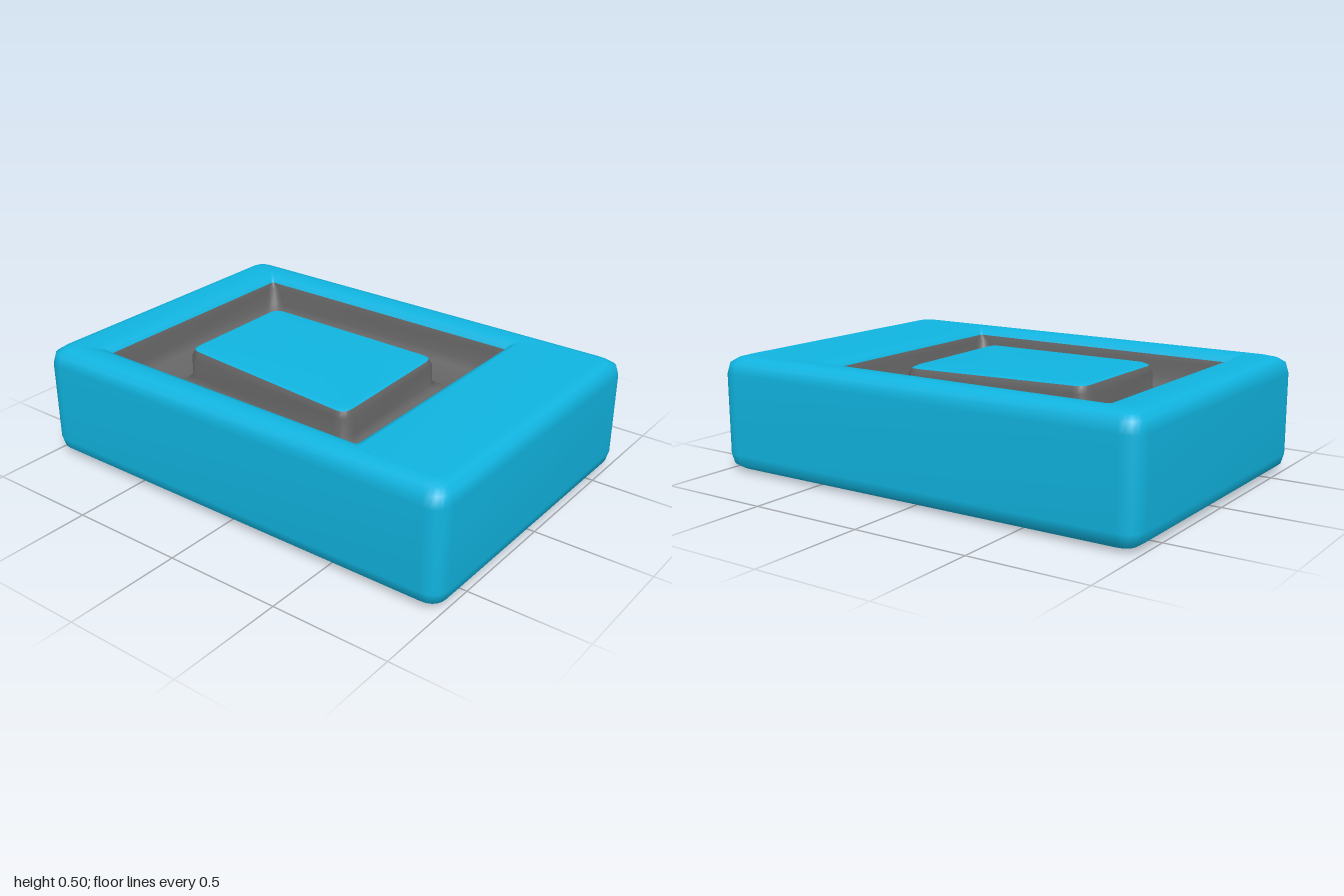
import * as THREE from 'three';

const CORNER_STEPS = 5;

// Corners run front left, front right, back right, back left.
const rect = (x0, x1, z0, z1) => [[x0, z1], [x1, z1], [x1, z0], [x0, z0]];

// Move each corner of a quad inward by d.
const inset = (quad, d) => quad.map(([x, z], i) => [
  x + (i === 0 || i === 3 ? d : -d),
  z + (i < 2 ? -d : d),
]);

// Horizontal loop around a quad with rounded corners; height runs from yFront to yBack.
function ring(quad, r, yFront, yBack = yFront) {
  const zs = quad.map(c => c[1]);
  const z0 = Math.min(...zs), z1 = Math.max(...zs);
  const points = [];
  quad.forEach((c, i) => {
    const corner = new THREE.Vector2(...c);
    const towards = q => new THREE.Vector2(...q).sub(corner).setLength(r).add(corner);
    const curve = new THREE.QuadraticBezierCurve(
      towards(quad[(i + 3) % 4]), corner, towards(quad[(i + 1) % 4]));
    for (const p of curve.getPoints(CORNER_STEPS)) {
      const t = z1 > z0 ? (p.y - z0) / (z1 - z0) : 0;
      points.push([p.x, yBack + (yFront - yBack) * t, p.y]);
    }
  });
  return points;
}

// Loop collapsed to a point, closing a flat cap.
const cap = (x, y, z) => Array.from({ length: 4 * (CORNER_STEPS + 1) }, () => [x, y, z]);

// Smooth skin through a series of loops.
function loft(name, rings, color) {
  const n = rings[0].length;
  const index = [];
  for (let k = 0; k < rings.length - 1; k++) {
    for (let i = 0; i < n; i++) {
      const a = k * n + i, b = k * n + (i + 1) % n;
      index.push(a, b, b + n, a, b + n, a + n);
    }
  }
  const geometry = new THREE.BufferGeometry();
  geometry.setAttribute('position', new THREE.Float32BufferAttribute(rings.flat(2), 3));
  geometry.setIndex(index);
  geometry.computeVertexNormals();
  const mesh = new THREE.Mesh(geometry, new THREE.MeshStandardMaterial({ color }));
  mesh.name = name;
  return mesh;
}

export function createModel() {
  const model = new THREE.Group();
  model.name = 'recessedBlock';
  const blue = 0x10b4e0, grey = 0x666666;

  const outer = rect(-0.7, 0.7, -1, 1);
  const opening = [[-0.55, 0.53], [0.53, 0.53], [0.535, -0.78], [-0.535, -0.78]];
  const island = [[-0.37, 0.345], [0.3, 0.33], [0.285, -0.55], [-0.31, -0.55]];

  // Block with rounded edges and a softened lip around the opening
  model.add(loft('body', [
    cap(0, 0, 0),
    ring(inset(outer, 0.075), 0.05, 0),
    ring(inset(outer, 0.04), 0.06, 0.01),
    ring(inset(outer, 0.012), 0.07, 0.03),
    ring(outer, 0.08, 0.075),
    ring(outer, 0.08, 0.425),
    ring(inset(outer, 0.012), 0.07, 0.47),
    ring(inset(outer, 0.04), 0.06, 0.49),
    ring(inset(outer, 0.075), 0.05, 0.5),
    ring(inset(opening, -0.045), 0.02, 0.498),
    ring(inset(opening, -0.015), 0.015, 0.485),
    ring(opening, 0.01, 0.465),
  ], blue));

  // Channel: outer wall, filleted floor and the wall of the island
  model.add(loft('channel', [
    ring(opening, 0.01, 0.465),
    ring(inset(opening, 0.008), 0.04, 0.44),
    ring(inset(opening, 0.015), 0.06, 0.37),
    ring(inset(opening, 0.035), 0.06, 0.335),
    ring(inset(opening, 0.075), 0.05, 0.32),
    ring(inset(island, -0.05), 0.06, 0.315),
    ring(inset(island, -0.018), 0.06, 0.325),
    ring(island, 0.06, 0.35),
    ring(inset(island, 0.002), 0.06, 0.43, 0.44),
    ring(inset(island, 0.015), 0.05, 0.455, 0.47),
  ], grey));

  // Coloured top of the island
  model.add(loft('islandTop', [
    ring(inset(island, 0.015), 0.05, 0.455, 0.47),
    ring(inset(island, 0.035), 0.04, 0.465, 0.48),
    cap(-0.02, 0.474, -0.11),
  ], blue));

  return model;
}
